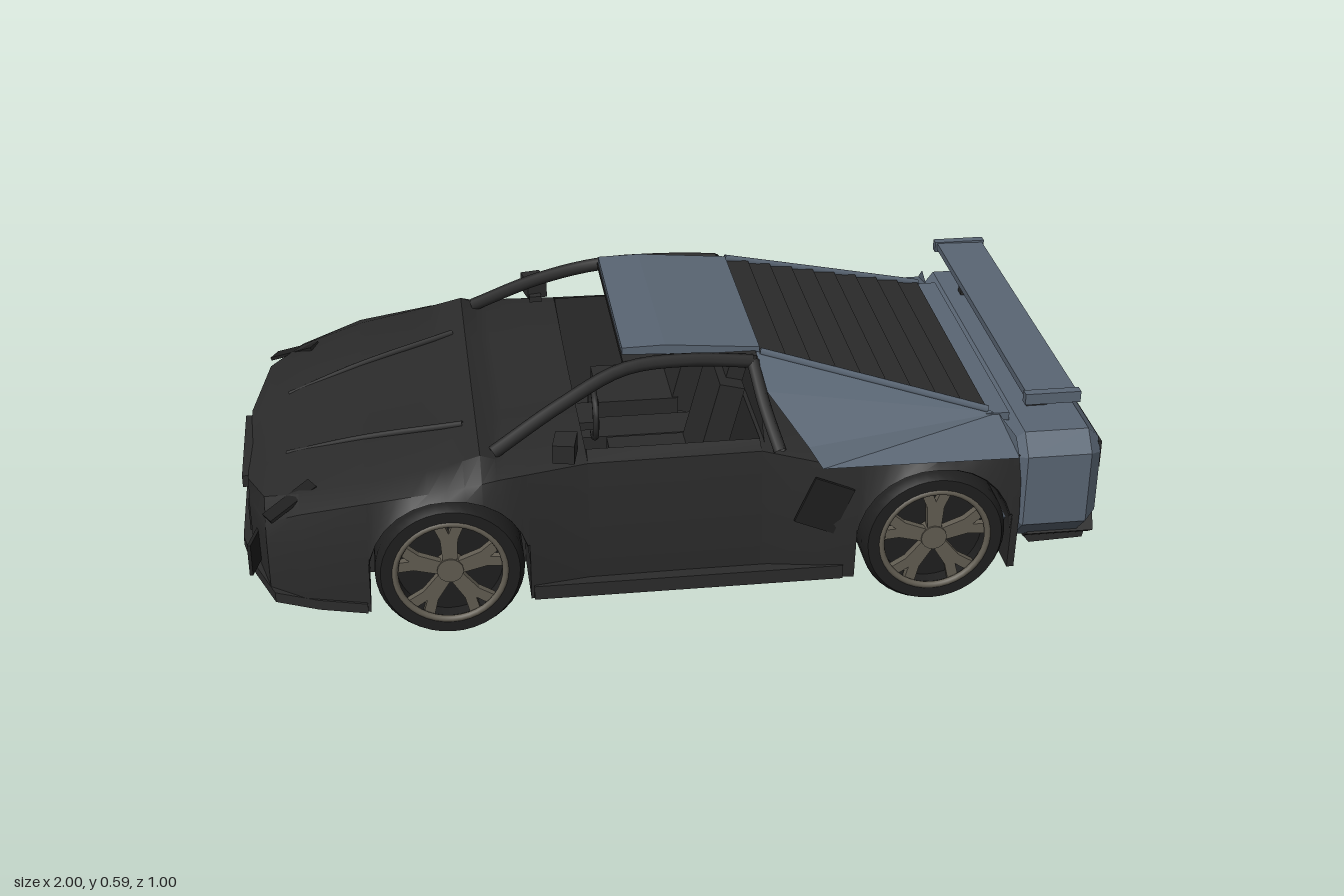
import * as THREE from 'three';
import { toCreasedNormals } from 'three/addons/utils/BufferGeometryUtils.js';

const mat = (name, color, side = THREE.FrontSide) => {
  const m = new THREE.MeshStandardMaterial({ color, side });
  m.name = name;
  return m;
};

// Body stations: [x, half width, shoulder height, centre height]
const STATIONS = [
  [-0.975, 0.2, 0.23, 0.255], [-0.93, 0.39, 0.26, 0.295], [-0.85, 0.45, 0.31, 0.325],
  [-0.7, 0.49, 0.35, 0.362], [-0.52, 0.5, 0.375, 0.395], [-0.44, 0.495, 0.385, 0.416],
  [-0.4, 0.49, 0.39, 0.4], [-0.2, 0.458, 0.4, 0.4], [0.2, 0.452, 0.4, 0.4],
  [0.33, 0.475, 0.374, 0.378], [0.6, 0.5, 0.37, 0.378], [0.8, 0.485, 0.365, 0.375],
];
const WHEEL_X = [-0.52, 0.6], WHEEL_Y = 0.17, ARCH = 0.182, FLOOR = 0.07, TUB = 0.199;

// Half section from the floor centre, around the side, to the top centre
function halfSection(x) {
  let k = 0;
  while (k < STATIONS.length - 2 && x > STATIONS[k + 1][0]) k++;
  const a = STATIONS[k], b = STATIONS[k + 1], t = (x - a[0]) / (b[0] - a[0]);
  const [, w, shoulder, centre] = a.map((v, i) => v + (b[i] - v) * t);
  let low = FLOOR;
  for (const c of WHEEL_X) {
    const d = Math.abs(x - c);
    if (d < ARCH) low = WHEEL_Y + Math.sqrt(ARCH * ARCH - d * d);
  }
  const inner = Math.min(0.31, w * 0.9), top = Math.max(shoulder, centre) + 0.008;
  const deck = Math.abs(x) <= TUB
    ? [[0.415, 0.4], [0.15, 0.385], [0.15, 0]]
    : [[top, w * 0.84], [centre + 0.003, w * 0.42], [centre, 0]];
  return [[FLOOR, 0], [FLOOR, inner], [low, inner], [low, w - 0.01],
    [Math.max(0.22, low + 0.006), w], [Math.max(shoulder, low + 0.012), w - 0.018], ...deck];
}

// Lofted lower body with arched wheel wells and an open cockpit tub
function bodyGeometry() {
  const xs = [...STATIONS.map(s => s[0]), -TUB, TUB];
  for (const c of WHEEL_X) {
    xs.push(c - ARCH - 0.001, c + ARCH + 0.001);
    for (let i = 0; i <= 14; i++) xs.push(c - ARCH * 0.9999 * Math.cos(Math.PI * i / 14));
  }
  xs.sort((a, b) => a - b);
  const rings = xs.map(x => {
    const half = halfSection(x);
    const mirror = half.slice(1, -1).reverse().map(([y, z]) => [y, -z]);
    return [...half, ...mirror].map(([y, z]) => [x, y, z]);
  });
  const n = rings[0].length, idx = [], last = (rings.length - 1) * n;
  for (let i = 0; i < rings.length - 1; i++) for (let j = 0; j < n; j++) {
    const a = i * n + j, d = i * n + (j + 1) % n;
    idx.push(a, a + n, d + n, a, d + n, d);
  }
  for (let j = 1; j < n - 1; j++) idx.push(0, j, j + 1, last, last + j + 1, last + j);
  const g = new THREE.BufferGeometry();
  g.setAttribute('position', new THREE.Float32BufferAttribute(rings.flat(2), 3));
  g.setIndex(idx);
  return toCreasedNormals(g, 0.5);
}

// Flat-faced sheet fanned out from its first corner
function fan(points) {
  const v = [];
  for (let i = 1; i < points.length - 1; i++) v.push(...points[0], ...points[i], ...points[i + 1]);
  const g = new THREE.BufferGeometry();
  g.setAttribute('position', new THREE.Float32BufferAttribute(v, 3));
  g.computeVertexNormals();
  return g;
}
const prism = (pts, depth, opt = {}) => new THREE.ExtrudeGeometry(
  new THREE.Shape(pts.map(p => new THREE.Vector2(...p))), { depth, bevelEnabled: false, ...opt });

export function createModel() {
  const car = new THREE.Group();
  car.name = 'sportsCar';
  const black = mat('bodyBlack', 0x2b2b2b, THREE.DoubleSide), blue = mat('slateBlue', 0x5a6674, THREE.DoubleSide);
  const red = mat('lampRed', 0xc41e1e), alloy = mat('wheelAlloy', 0x625d52), dark = mat('rubberDark', 0x1f1f1f);
  const add = (name, geo, m, x = 0, y = 0, z = 0, parent = car) => {
    const mesh = new THREE.Mesh(geo, m);
    mesh.name = name;
    mesh.position.set(x, y, z);
    parent.add(mesh);
    return mesh;
  };
  const box = (name, m, w, h, d, x, y, z) => add(name, new THREE.BoxGeometry(w, h, d), m, x, y, z);
  const tube = (name, m, r, pts) => add(name, new THREE.TubeGeometry(
    new THREE.CatmullRomCurve3(pts.map(p => new THREE.Vector3(...p))), 20, r, 6), m);

  add('body', bodyGeometry(), black);

  // Front splitter, beak and intake
  const lip = [[-1, -0.15], [-0.97, -0.28], [-0.92, -0.41], [-0.82, -0.455], [-0.71, -0.485]];
  const splitter = prism([...lip, ...lip.map(([x, z]) => [x, -z]).reverse()], 0.025);
  add('frontSplitter', splitter.rotateX(Math.PI / 2), black, 0, 0.095, 0);
  box('noseBeak', black, 0.04, 0.03, 0.3, -0.97, 0.245, 0);
  box('centreIntake', dark, 0.008, 0.07, 0.3, -0.978, 0.145, 0);

  // Wheels
  const tyreProfile = [[0, -0.075], [0.145, -0.075], [0.17, -0.055], [0.17, 0.055],
    [0.158, 0.075], [0.128, 0.075], [0.122, 0.03], [0, 0.03]].map(p => new THREE.Vector2(...p));
  const tyre = toCreasedNormals(new THREE.LatheGeometry(tyreProfile, 40).rotateX(Math.PI / 2), 0.6);
  const spoke = prism([[-0.016, 0.02], [0.016, 0.02], [0.02, 0.08], [0.038, 0.123],
    [0.012, 0.126], [0, 0.095], [-0.012, 0.126], [-0.038, 0.123], [-0.02, 0.08]], 0.018);
  const hub = new THREE.CylinderGeometry(0.03, 0.034, 0.03, 16).rotateX(Math.PI / 2);
  const ring = new THREE.TorusGeometry(0.126, 0.008, 8, 40);
  for (const x of WHEEL_X) for (const s of [1, -1]) {
    const wheel = new THREE.Group();
    wheel.name = (x < 0 ? 'front' : 'rear') + 'Wheel';
    wheel.position.set(x, WHEEL_Y, s * 0.42);
    if (s < 0) wheel.rotation.y = Math.PI;
    car.add(wheel);
    add('tyre', tyre, dark, 0, 0, 0, wheel);
    add('rimRing', ring, alloy, 0, 0, 0.07, wheel);
    add('hub', hub, alloy, 0, 0, 0.052, wheel);
    for (let i = 0; i < 5; i++) add('spoke', spoke, alloy, 0, 0, 0.046, wheel).rotation.z = i * Math.PI * 0.4;
  }

  // Roof panel, headliner and rear bulkhead
  const roof = prism([[-0.1, 0.575], [0.02, 0.57], [0.22, 0.552], [0.22, 0.575], [0, 0.594], [-0.1, 0.592]], 0.51);
  add('roofPanel', roof, blue, 0, 0, -0.255);
  box('headliner', black, 0.31, 0.012, 0.56, 0.055, 0.56, 0);
  add('bulkhead', fan([[0.21, 0.38, 0.42], [0.21, 0.55, 0.28], [0.21, 0.55, -0.28], [0.21, 0.38, -0.42]]), black);

  // Cabin
  for (const z of [0.19, -0.19]) {
    box('seatCushion', black, 0.2, 0.1, 0.2, -0.02, 0.22, z);
    box('seatBack', black, 0.06, 0.27, 0.19, 0.12, 0.36, z).rotation.z = -0.25;
    box('headrest', black, 0.04, 0.06, 0.1, 0.165, 0.49, z).rotation.z = -0.25;
  }
  const steering = add('steeringWheel', new THREE.TorusGeometry(0.06, 0.008, 6, 24), black, -0.16, 0.39, 0.18);
  steering.rotation.y = Math.PI / 2;
  box('steeringColumn', black, 0.08, 0.02, 0.1, -0.19, 0.38, 0.18);
  box('centreConsole', black, 0.36, 0.1, 0.1, 0, 0.2, 0);

  for (const s of [1, -1]) {
    // Pillars, mirrors, sills, headlamps and hood ridges
    tube('roofPillar', black, 0.016, [[-0.41, 0.415, s * 0.39], [-0.25, 0.5, s * 0.34], [-0.1, 0.556, s * 0.29],
      [0.05, 0.565, s * 0.28], [0.2, 0.555, s * 0.285]]);
    tube('rearDoorPillar', black, 0.015, [[0.2, 0.555, s * 0.285], [0.215, 0.48, s * 0.36], [0.24, 0.4, s * 0.44]]);
    box('mirrorArm', black, 0.03, 0.015, 0.06, -0.25, 0.425, s * 0.41);
    box('mirrorShell', black, 0.05, 0.045, 0.07, -0.25, 0.442, s * 0.435).rotation.y = s * -0.2;
    box('sideSill', black, 0.72, 0.035, 0.03, 0.03, 0.088, s * 0.462);
    box('sideScoop', dark, 0.1, 0.12, 0.008, 0.34, 0.27, s * 0.474).rotation.z = -0.4;
    box('headlamp', dark, 0.13, 0.008, 0.04, -0.87, 0.317, s * 0.38).rotation.set(0, s * 0.5, 0.4);
    box('cornerIntake', dark, 0.008, 0.08, 0.13, -0.958, 0.15, s * 0.29).rotation.y = s * -0.25;
    tube('hoodRidge', black, 0.008, [[-0.88, 0.312, s * 0.15], [-0.7, 0.364, s * 0.19], [-0.47, 0.412, s * 0.24]]);

    // Sloping rear quarter panel with its rail
    add('quarterPanel', fan([[0.77, 0.418, s * 0.355], [0.21, 0.568, s * 0.262], [0.22, 0.515, s * 0.365],
      [0.3, 0.42, s * 0.465], [0.33, 0.375, s * 0.489], [0.785, 0.375, s * 0.497], [0.785, 0.41, s * 0.46]]), blue);
    tube('louvreRail', blue, 0.009, [[0.22, 0.567, s * 0.262], [0.48, 0.498, s * 0.306], [0.745, 0.427, s * 0.351]]);
  }

  // Louvred engine cover
  add('louvreBase', fan([[0.21, 0.55, 0.262], [0.76, 0.405, 0.354], [0.76, 0.405, -0.354], [0.21, 0.55, -0.262]]), black);
  for (let i = 0; i < 9; i++) {
    const t = (i + 0.5) / 9;
    box('louvreSlat', black, 0.062, 0.01, 0.516 + 0.18 * t, 0.22 + 0.52 * t, 0.562 - 0.14 * t, 0).rotation.z = -0.12;
  }
  box('louvreTrim', blue, 0.06, 0.02, 0.72, 0.765, 0.41, 0);

  // Chamfered tail block
  const half = [[0.41, 0.155], [0.455, 0.2], [0.455, 0.355], [0.43, 0.382]];
  const tail = prism([...half, ...half.map(([z, y]) => [-z, y]).reverse()], 0.15,
    { bevelEnabled: true, bevelThickness: 0.03, bevelSize: 0.03, bevelSegments: 1 });
  add('tailBlock', tail.rotateY(Math.PI / 2), blue, 0.81, 0, 0);

  // Tail details
  const plate = (name, m, w, h, x, y, z = 0) => box(name, m, 0.008, h, w, x, y, z);
  plate('lampPanel', black, 0.89, 0.068, 0.991, 0.342);
  plate('tailSlit', black, 0.875, 0.01, 0.99, 0.268);
  plate('panelRecessEdge', black, 0.728, 0.059, 0.987, 0.23);
  plate('panelRecess', blue, 0.722, 0.053, 0.988, 0.23);
  for (const s of [1, -1]) {
    plate('tailLampStrip', red, 0.41, 0.011, 0.996, 0.352, s * 0.225);
    plate('tailLampEnd', red, 0.024, 0.032, 0.996, 0.339, s * 0.42);
  }
  const diffuser = prism([[-0.4, 0.105], [0.4, 0.105], [0.435, 0.13], [0.41, 0.18], [-0.41, 0.18], [-0.435, 0.13]], 0.16);
  add('diffuser', diffuser.rotateY(Math.PI / 2), black, 0.84, 0, 0);
  const fin = prism([[0.84, 0.105], [0.86, 0.08], [0.99, 0.085], [0.998, 0.12], [0.84, 0.12]], 0.008);
  for (let i = 0; i < 4; i++) add('diffuserFin', fin, black, 0, 0, 0.383 - 0.219 * i);

  // Rear wing
  add('wingBlade', prism([[0.81, 0.488], [0.93, 0.484], [0.93, 0.502], [0.81, 0.505]], 0.84), blue, 0, 0, -0.42);
  for (const s of [1, -1]) {
    box('wingEndCap', blue, 0.13, 0.027, 0.022, 0.87, 0.494, s * 0.429);
    box('wingStrut', black, 0.05, 0.09, 0.026, 0.872, 0.447, s * 0.307);
  }
  return car;
}
